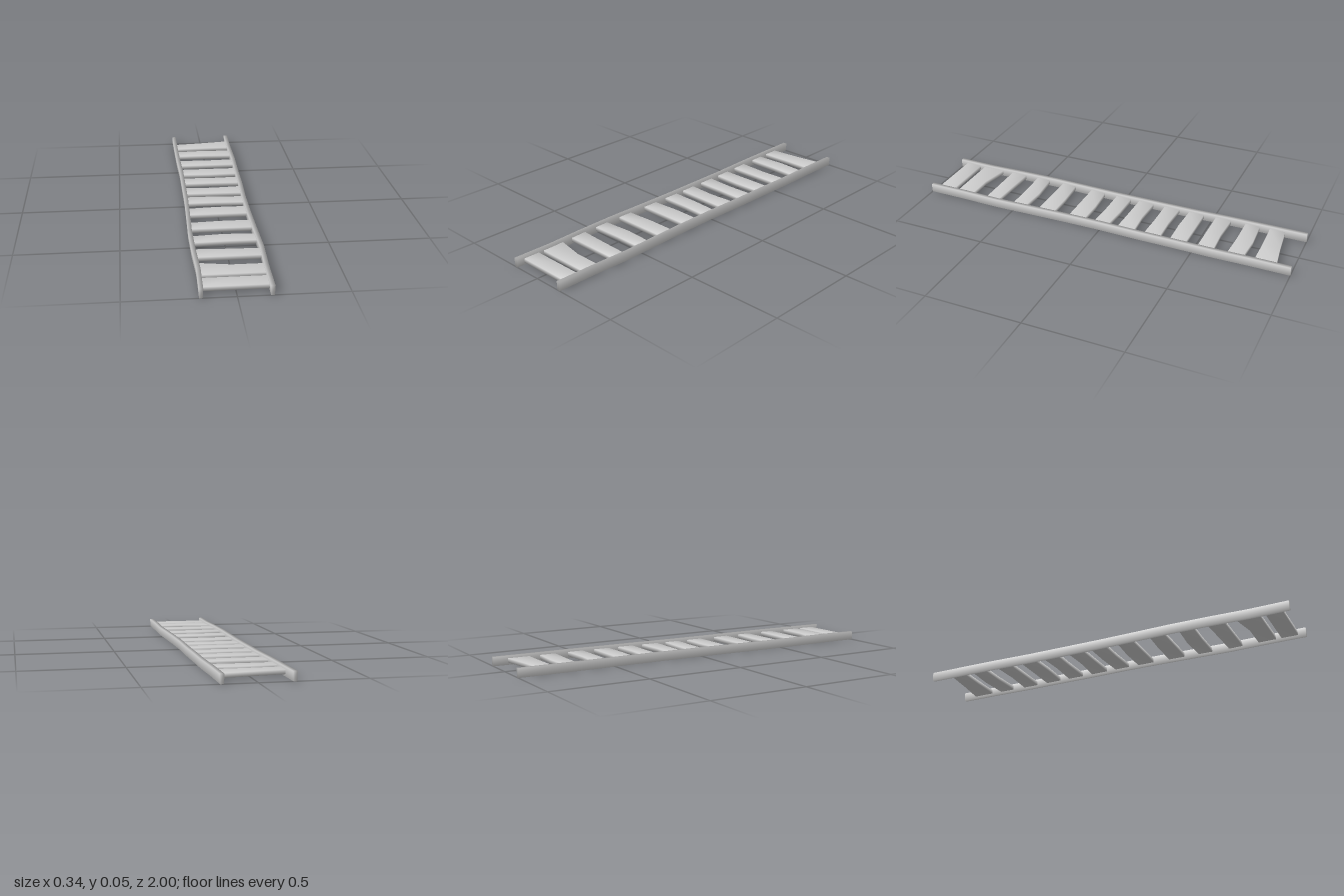
import * as THREE from 'three';
import { mergeVertices } from 'three/addons/utils/BufferGeometryUtils.js';

const material = new THREE.MeshStandardMaterial({ color: 0xcccccc });

// Box whose vertices are moved by a rule, then welded for soft shading
function shapedBox(name, segX, segZ, rule) {
  let geo = new THREE.BoxGeometry(1, 1, 1, segX, 1, segZ);
  const pos = geo.attributes.position;
  const v = new THREE.Vector3();
  for (let i = 0; i < pos.count; i++) {
    v.fromBufferAttribute(pos, i);
    rule(v);
    pos.setXYZ(i, v.x, v.y, v.z);
  }
  geo.deleteAttribute('normal');
  geo.deleteAttribute('uv');
  geo = mergeVertices(geo, 1e-5);
  geo.computeVertexNormals();
  const mesh = new THREE.Mesh(geo, material);
  mesh.name = name;
  return mesh;
}

// Hand-hewn side rail: tapers towards the ground and wanders along its length
function rail(name, centres) {
  const n = centres.length - 1;
  return shapedBox(name, 1, n, v => {
    const top = v.y > 0;
    const centre = centres[Math.round((v.z + 0.5) * n)];
    v.x = centre + v.x * (top ? 0.021 : 0.016);
    v.y = top ? 0.045 : 0;
    v.z *= 2;
  });
}

// Flat tread with uneven edges, z given at its right end, middle and left end
function rung(name, back, front) {
  return shapedBox(name, 2, 1, v => {
    const k = Math.round((v.x + 0.5) * 2);
    v.z = (v.z > 0 ? front : back)[k];
    v.x *= 0.304;
    v.y = v.y > 0 ? 0.033 : 0.012;
  });
}

export function createModel() {
  const group = new THREE.Group();
  group.name = 'ladder';

  // Rail centre lines, sampled evenly from back to front
  group.add(rail('rightRail', [-0.162, -0.161, -0.159, -0.153, -0.153, -0.153, -0.157, -0.162, -0.160, -0.153, -0.157]));
  group.add(rail('leftRail', [0.158, 0.157, 0.160, 0.157, 0.156, 0.151, 0.152, 0.156, 0.161, 0.155, 0.154]));

  // Rungs from back to front: back edge, front edge
  const rungs = [
    [[-0.889, -0.905, -0.926], [-0.810, -0.815, -0.815]],
    [[-0.757, -0.766, -0.757], [-0.683, -0.683, -0.676]],
    [[-0.606, -0.599, -0.606], [-0.524, -0.524, -0.524]],
    [[-0.460, -0.460, -0.460], [-0.380, -0.374, -0.378]],
    [[-0.325, -0.318, -0.323], [-0.243, -0.243, -0.238]],
    [[-0.180, -0.173, -0.183], [-0.098, -0.095, -0.091]],
    [[-0.050, -0.048, -0.038], [0.032, 0.032, 0.040]],
    [[0.103, 0.093, 0.095], [0.183, 0.183, 0.183]],
    [[0.280, 0.271, 0.271], [0.357, 0.357, 0.357]],
    [[0.439, 0.427, 0.435], [0.513, 0.508, 0.508]],
    [[0.585, 0.593, 0.598], [0.670, 0.670, 0.670]],
    [[0.728, 0.757, 0.757], [0.847, 0.847, 0.847]],
    [[0.876, 0.876, 0.876], [0.960, 0.960, 0.960]],
  ];
  rungs.forEach(([back, front], i) => group.add(rung(`rung${i + 1}`, back, front)));
  return group;
}
